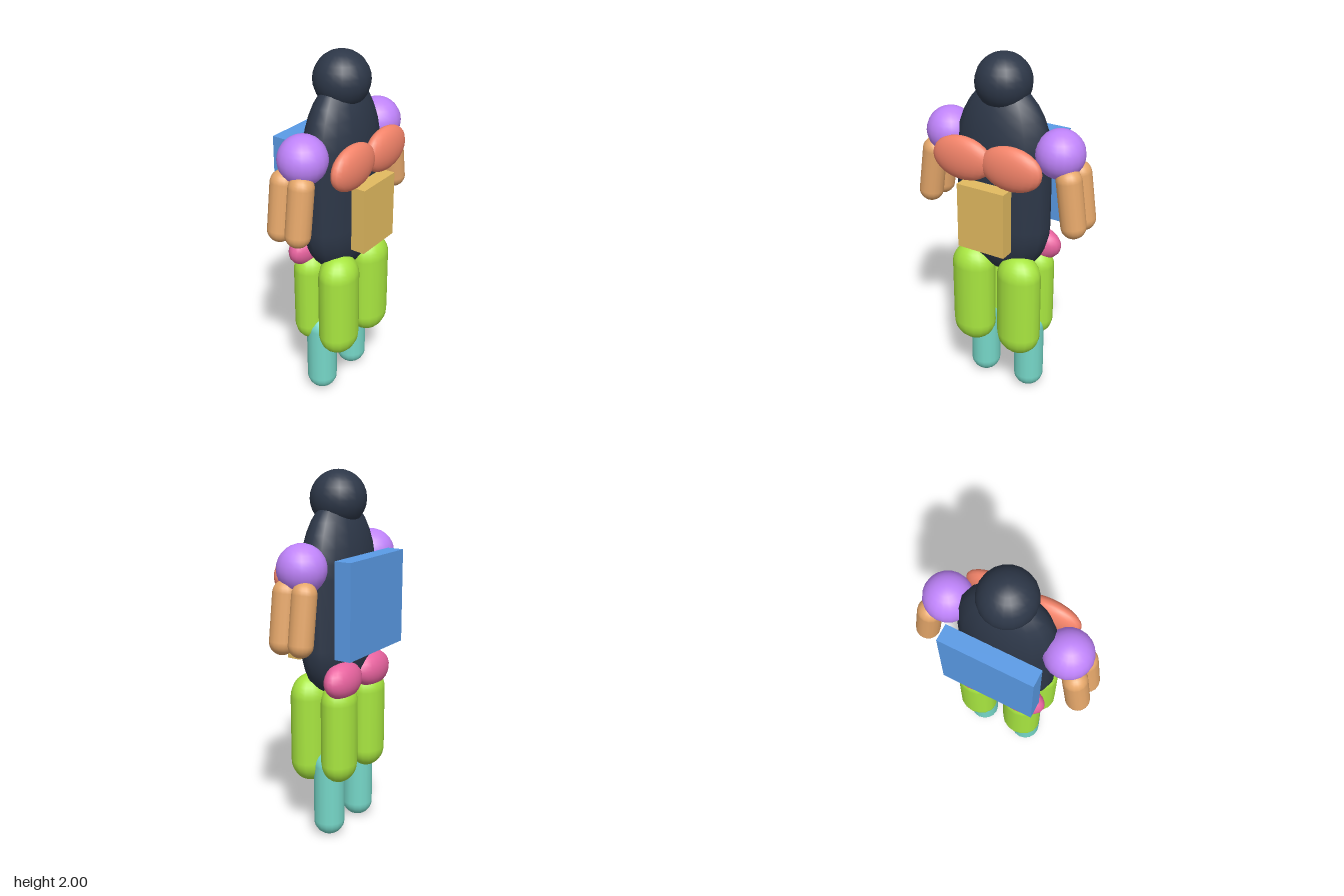
import * as THREE from 'three';

const paint = (color) => new THREE.MeshStandardMaterial({ color });
const COLORS = {
  dark: paint(0x2d3748), purple: paint(0xc084fc), coral: paint(0xf4846a), tan: paint(0xe5a76a),
  yellow: paint(0xe2ba60), green: paint(0xa8e640), teal: paint(0x76d7c8), pink: paint(0xe8639f), blue: paint(0x5a9be6),
};

export function createModel() {
  const model = new THREE.Group();
  model.name = 'figure';

  const add = (name, geometry, material, x, y, z) => {
    const mesh = new THREE.Mesh(geometry, material);
    mesh.name = name;
    mesh.position.set(x, y, z);
    model.add(mesh);
    return mesh;
  };
  const ball = (name, material, x, y, z, rx, ry, rz) =>
    add(name, new THREE.SphereGeometry(1, 20, 14).scale(rx, ry, rz), material, x, y, z);
  // Upright capsule between two heights, with an oval section
  const limb = (name, material, x, z, bottom, top, rx, rz) =>
    add(name, new THREE.CapsuleGeometry(rx, top - bottom - 2 * rx, 8, 16).scale(1, 1, rz / rx),
      material, x, (top + bottom) / 2, z);

  // Torso: flattened body with a round base and longer, tapering shoulders
  const profile = [];
  for (let i = 0; i <= 8; i++) {
    const a = (i / 8) * Math.PI / 2;
    profile.push(new THREE.Vector2(0.275 * Math.sin(a), 1.075 - 0.3 * Math.cos(a)));
  }
  for (let i = 0; i <= 8; i++) {
    const a = (i / 8) * Math.PI / 2;
    profile.push(new THREE.Vector2(0.275 * Math.cos(a), 1.46 + 0.4 * Math.sin(a)));
  }
  add('torso', new THREE.LatheGeometry(profile, 16).scale(1, 1, 0.158 / 0.275), COLORS.dark, 0, 0, 0);
  ball('head', COLORS.dark, 0, 1.85, 0, 0.15, 0.15, 0.15);

  // Belly and back slabs
  add('belly', new THREE.BoxGeometry(0.28, 0.365, 0.08), COLORS.yellow, 0, 1.163, 0.2);
  add('back', new THREE.BoxGeometry(0.524, 0.51, 0.095), COLORS.blue, 0, 1.315, -0.197);

  // Paired parts
  for (const [side, s] of [['left', 1], ['right', -1]]) {
    ball(side + 'Shoulder', COLORS.purple, s * 0.332, 1.527, 0, 0.13, 0.13, 0.13);
    ball(side + 'Chest', COLORS.coral, s * 0.145, 1.465, 0.173, 0.178, 0.12, 0.06);
    ball(side + 'Glute', COLORS.pink, s * 0.142, 0.915, -0.124, 0.145, 0.1, 0.078).rotation.x = 0.12;

    // Upper arm: front and rear muscles leaning outward
    limb(side + 'FrontArm', COLORS.tan, s * 0.425, 0.046, 1.1, 1.483, 0.068, 0.068).rotation.z = s * 0.14;
    limb(side + 'RearArm', COLORS.tan, s * 0.425, -0.069, 1.1, 1.483, 0.066, 0.066).rotation.z = s * 0.14;

    // Leg: front and rear thigh muscles over a shin
    limb(side + 'FrontThigh', COLORS.green, s * 0.145, 0.083, 0.303, 0.92, 0.125, 0.105);
    limb(side + 'RearThigh', COLORS.green, s * 0.143, -0.1, 0.33, 0.9, 0.112, 0.094);
    limb(side + 'Shin', COLORS.teal, s * 0.147, -0.036, 0, 0.5, 0.086, 0.086);
  }
  return model;
}
